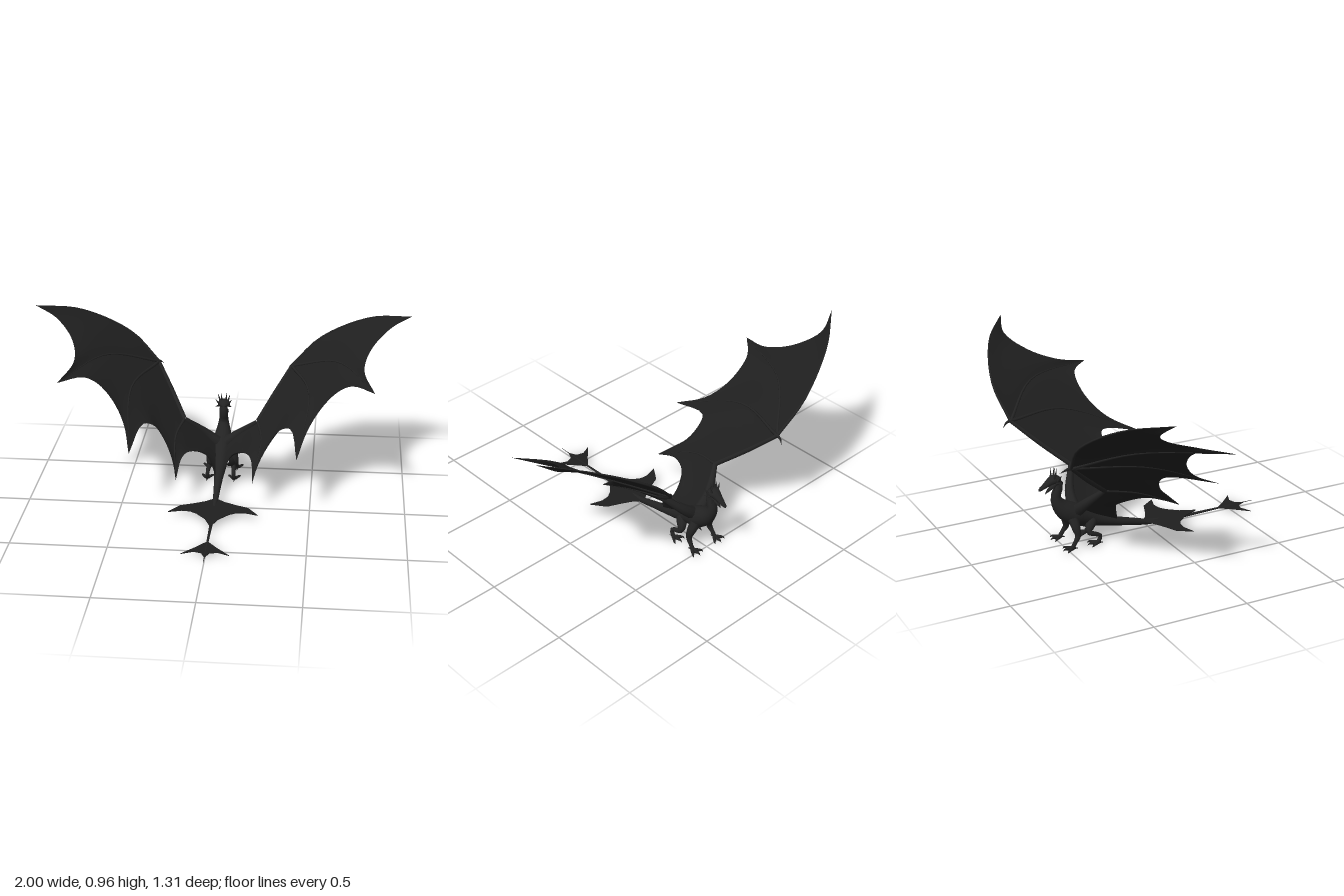
import * as THREE from 'three';

const skin = new THREE.MeshStandardMaterial({ color: 0x232323 });
skin.name = 'charcoal skin';
const webbing = new THREE.MeshStandardMaterial({ color: 0x1f1f1f, side: THREE.DoubleSide });
webbing.name = 'dark membrane';

const V = (p, s = 1) => new THREE.Vector3(p[0] * s, p[1], p[2]);

function grid(rows, cols, wrap, at) {
  const pos = [], idx = [], n = wrap ? cols : cols + 1;
  for (let i = 0; i <= rows; i++)
    for (let j = 0; j < n; j++) pos.push(...at(i, j).toArray());
  for (let i = 0; i < rows; i++)
    for (let j = 0; j < cols; j++) {
      const k = (j + 1) % n, a = i * n + j, b = i * n + k, c = a + n, d = b + n;
      idx.push(a, b, c, b, d, c);
    }
  const g = new THREE.BufferGeometry();
  g.setAttribute('position', new THREE.Float32BufferAttribute(pos, 3));
  g.setIndex(idx);
  g.computeVertexNormals();
  return g;
}

// Tapered tube; each station is [x, y, z, radius, second radius]
function limb(name, stations, { s = 1, rows = 10, sides = 8 } = {}) {
  const curve = new THREE.CatmullRomCurve3(stations.map(p => V(p, s)));
  const { normals, binormals } = curve.computeFrenetFrames(rows);
  const geo = grid(rows, sides, true, (i, j) => {
    const u = i / rows, a = j / sides * Math.PI * 2;
    const t = curve.getUtoTmapping(u) * (stations.length - 1);
    const k = Math.min(Math.floor(t), stations.length - 2);
    const P = stations[k], Q = stations[k + 1], mix = THREE.MathUtils.lerp;
    const ra = mix(P[3], Q[3], t - k), rb = mix(P[4] ?? P[3], Q[4] ?? Q[3], t - k);
    return curve.getPointAt(u)
      .addScaledVector(normals[i], Math.cos(a) * ra)
      .addScaledVector(binormals[i], Math.sin(a) * rb);
  });
  const m = new THREE.Mesh(geo, skin);
  m.name = name;
  return m;
}

// Smooth spans joined with sharp corners
function path(s, ...spans) {
  const c = new THREE.CurvePath();
  spans.forEach(pts => c.add(new THREE.CatmullRomCurve3(pts.map(p => V(p, s)))));
  return c;
}

// Skin stretched between two fingers with a scalloped trailing edge
function panel(name, s, spansA, spansB, scallop) {
  const A = path(s, ...spansA), B = path(s, ...spansB);
  const endA = A.getPoint(1), endB = B.getPoint(1);
  const E = new THREE.CatmullRomCurve3([endA, ...scallop.map(p => V(p, s)), endB]);
  const rows = 24, cols = 20;
  const geo = grid(rows, cols, false, (i, j) => {
    const t = i / rows, q = j / cols;
    const pull = E.getPoint(q).sub(endA.clone().lerp(endB, q)).multiplyScalar(t ** 3);
    return A.getPoint(t).lerp(B.getPoint(t), q).add(pull);
  });
  const m = new THREE.Mesh(geo, webbing);
  m.name = name;
  return m;
}

function wing(s) {
  const g = new THREE.Group();
  g.name = s > 0 ? 'leftWing' : 'rightWing';
  const shoulder = [0.03, 0.2, -0.42], elbow = [0.2, 0.35, -0.35], wrist = [0.37, 0.58, -0.61];
  const lead = [wrist, [0.52, 0.735, -0.64], [0.78, 0.893, -0.55], [1, 0.963, -0.39]];
  const second = [wrist, [0.62, 0.7, -0.38], [0.815, 0.69, 0.03]];
  const third = [wrist, [0.475, 0.56, -0.27], [0.43, 0.37, 0.175]];
  const fourth = [elbow, [0.23, 0.315, -0.18], [0.2, 0.185, 0.08]];
  const flank = [shoulder, [0.025, 0.14, -0.3], [0.015, 0.09, -0.19]];

  g.add(
    panel('outerMembrane', s, [lead], [second],
      [[0.9, 0.89, -0.415], [0.8, 0.808, -0.32], [0.76, 0.74, -0.16]]),
    panel('middleMembrane', s, [second], [third],
      [[0.7, 0.68, -0.085], [0.63, 0.64, -0.105], [0.55, 0.56, -0.08], [0.48, 0.465, 0.005]]),
    panel('innerMembrane', s, [[elbow, wrist], third], [fourth],
      [[0.385, 0.435, -0.07], [0.33, 0.41, -0.1], [0.27, 0.335, -0.075], [0.225, 0.26, 0]]),
    panel('bodyMembrane', s, [[shoulder, elbow], fourth], [flank],
      [[0.182, 0.25, -0.07], [0.14, 0.245, -0.165], [0.07, 0.205, -0.215]])
  );
  // Arm bones, finger ribs and wrist claw
  g.add(limb('upperArm', [[0.02, 0.185, -0.42, 0.035], [0.09, 0.245, -0.41, 0.027], [...elbow, 0.013]], { s }));
  g.add(limb('forearm', [[...elbow, 0.013], [0.285, 0.465, -0.485, 0.013], [...wrist, 0.01]], { s }));
  [lead, second, third, fourth].forEach((pts, k) => g.add(limb('wingFinger' + (k + 1),
    pts.map((p, i) => [...p, 0.0085 * (1 - i / (pts.length - 1)) + 0.0008]), { s, rows: 14, sides: 6 })));
  g.add(limb('wristClaw', [[0.37, 0.585, -0.6, 0.01], [0.367, 0.575, -0.635, 0.006],
    [0.35, 0.555, -0.662, 0.0005]], { s, rows: 6, sides: 6 }));
  return g;
}

// Leg with a clawed foot
function leg(name, s, stations, foot, reach) {
  const g = new THREE.Group();
  g.name = name;
  g.add(limb('legSegments', stations, { s, rows: 14 }));
  const [x, y, z] = foot;
  [-0.035, -0.003, 0.032].forEach((dx, k) => {
    const r = reach * (k === 1 ? 1 : 0.8);
    g.add(limb('toe', [[x, y, z, 0.011], [x + dx * 0.6, y, z - r * 0.55, 0.008],
      [x + dx * 0.9, y, z - r * 0.8, 0.006], [x + dx, 0.003, z - r, 0.0006]], { s, rows: 6, sides: 6 }));
  });
  g.add(limb('heelClaw', [[x, y, z, 0.009], [x, 0.004, z + 0.03, 0.0006]], { s, rows: 3, sides: 6 }));
  return g;
}

// Flat mirrored tail fin from its right-hand outline [x, z]
function fin(name, pts, y) {
  const outline = [...pts, ...pts.slice().reverse().map(([x, z]) => [-x, z])];
  const shape = new THREE.Shape(outline.map(([x, z]) => new THREE.Vector2(x, -z)));
  const geo = new THREE.ExtrudeGeometry(shape, { depth: 0.004, bevelEnabled: false });
  const m = new THREE.Mesh(geo.rotateX(-Math.PI / 2).translate(0, y, 0), webbing);
  m.name = name;
  return m;
}

export function createModel() {
  const dragon = new THREE.Group();
  dragon.name = 'dragon';

  // Tail, torso and neck as one smooth form
  dragon.add(limb('body', [
    [0, 0.02, 0.65, 0.001], [0, 0.017, 0.4, 0.006, 0.005], [0, 0.016, 0.2, 0.009],
    [0, 0.028, 0, 0.014, 0.016], [0, 0.05, -0.1, 0.018, 0.02], [0, 0.074, -0.2, 0.024, 0.025],
    [0, 0.106, -0.3, 0.037, 0.034], [0, 0.137, -0.37, 0.048, 0.047], [0, 0.162, -0.43, 0.058, 0.06],
    [0, 0.197, -0.483, 0.05, 0.052], [0, 0.237, -0.517, 0.036, 0.036], [0, 0.275, -0.53, 0.026, 0.026],
    [0, 0.31, -0.52, 0.024, 0.024], [0, 0.34, -0.511, 0.023, 0.023], [0, 0.362, -0.522, 0.022, 0.02],
    [0, 0.367, -0.545, 0.012, 0.012]], { rows: 64, sides: 14 }));

  // Head with open jaw
  const head = new THREE.Group();
  head.name = 'head';
  head.add(limb('skull', [[0, 0.362, -0.5, 0.004], [0, 0.37, -0.515, 0.027, 0.018],
    [0, 0.374, -0.54, 0.034, 0.024], [0, 0.359, -0.57, 0.022, 0.017], [0, 0.34, -0.6, 0.014, 0.011],
    [0, 0.329, -0.618, 0.009, 0.007], [0, 0.324, -0.624, 0.0008]], { rows: 18, sides: 10 }));
  head.add(limb('lowerJaw', [[0, 0.355, -0.525, 0.02, 0.012], [0, 0.335, -0.55, 0.017, 0.009],
    [0, 0.317, -0.573, 0.01, 0.006], [0, 0.302, -0.588, 0.0008]], { rows: 10 }));
  head.add(limb('noseHorn', [[0, 0.335, -0.608, 0.006], [0, 0.345, -0.622, 0.0005]], { rows: 3, sides: 6 }));
  const horns = [
    [[0.011, 0.385, -0.535], [0.016, 0.437, -0.528]],
    [[0.02, 0.38, -0.545], [0.034, 0.425, -0.542]],
    [[0.026, 0.372, -0.53], [0.045, 0.405, -0.512]],
    [[0.026, 0.36, -0.535], [0.045, 0.363, -0.51]],
    [[0.016, 0.34, -0.545], [0.026, 0.31, -0.553]]];
  for (const s of [1, -1])
    horns.forEach(([a, b]) => head.add(limb('horn', [[...a, 0.008], [...b, 0.0005]], { s, rows: 4, sides: 6 })));
  dragon.add(head);

  for (const s of [1, -1]) {
    const side = s > 0 ? 'left' : 'right';
    dragon.add(wing(s));
    dragon.add(leg(side + 'FrontLeg', s, [[0.035, 0.15, -0.45, 0.03], [0.062, 0.11, -0.448, 0.024],
      [0.073, 0.07, -0.443, 0.016], [0.078, 0.04, -0.46, 0.011], [0.08, 0.012, -0.478, 0.011]],
      [0.08, 0.011, -0.475], 0.055));
    dragon.add(leg(side + 'HindLeg', s, [[0.025, 0.115, -0.34, 0.03], [0.05, 0.095, -0.365, 0.025],
      [0.065, 0.073, -0.378, 0.015], [0.072, 0.043, -0.315, 0.01], [0.075, 0.012, -0.33, 0.011]],
      [0.075, 0.011, -0.33], 0.06));
  }

  // Tail fins
  dragon.add(fin('middleTailFin', [[0.002, -0.03], [0.05, 0.01], [0.11, 0.04], [0.18, 0.07], [0.235, 0.147],
    [0.165, 0.125], [0.12, 0.13], [0.085, 0.152], [0.035, 0.21], [0.002, 0.29]], 0.031));
  dragon.add(fin('endTailFin', [[0.002, 0.43], [0.05, 0.49], [0.12, 0.565], [0.06, 0.538],
    [0.02, 0.55], [0.002, 0.59]], 0.016));
  return dragon;
}
